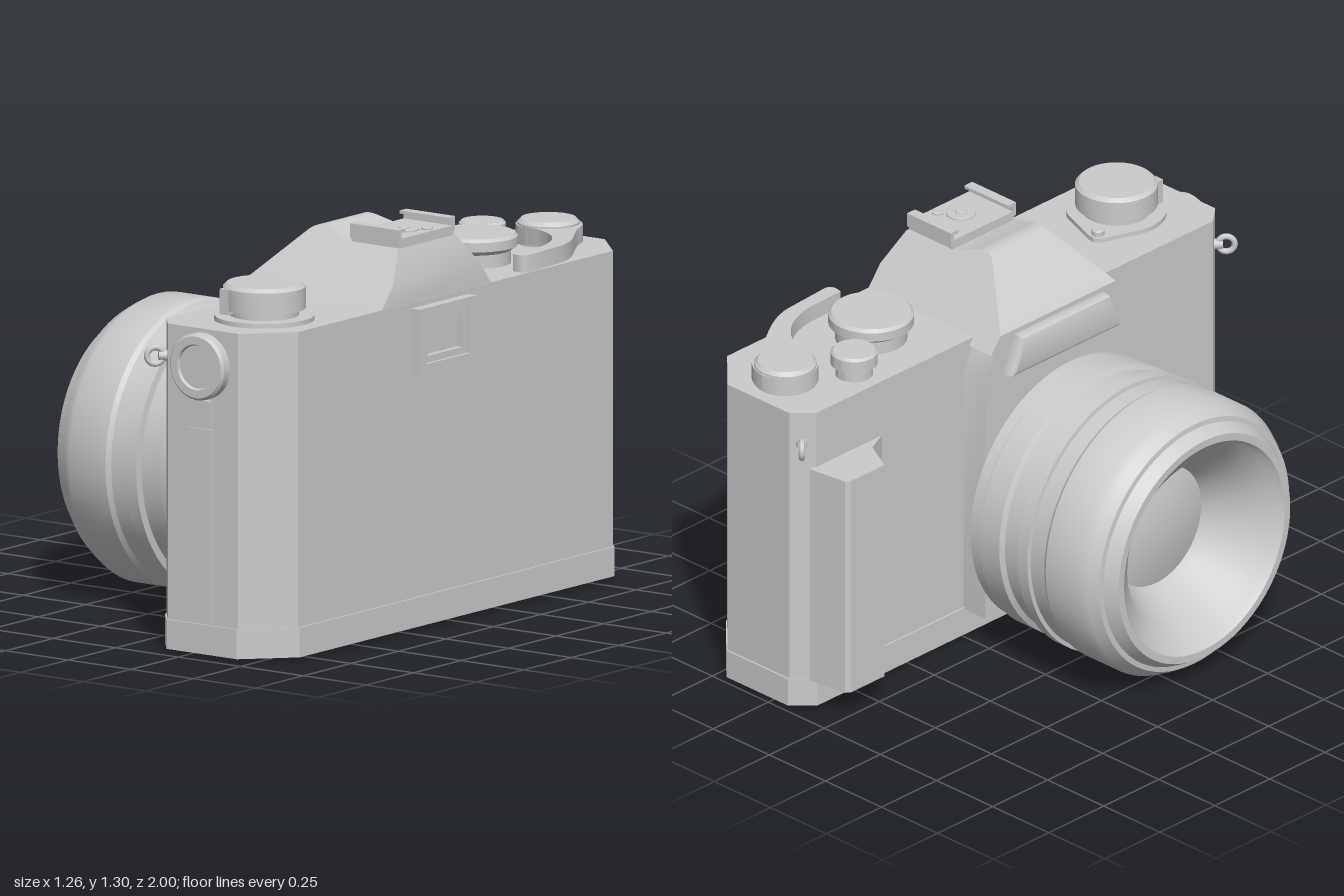
import * as THREE from 'three';
import { toCreasedNormals } from 'three/addons/utils/BufferGeometryUtils.js';

const CZ = 0.08;      // lens and viewfinder axis in z
const LENS_Y = 0.473; // lens axis height
const V = (a, b) => new THREE.Vector2(a, b);

export function createModel() {
  const root = new THREE.Group();
  const mat = new THREE.MeshStandardMaterial({ color: 0xcccccc, side: THREE.DoubleSide });

  const add = (name, geo, x = 0, y = 0, z = 0, parent = root) => {
    const m = new THREE.Mesh(geo, mat);
    m.name = name;
    m.position.set(x, y, z);
    parent.add(m);
    return m;
  };
  const box = (name, x0, x1, y0, y1, z0, z1) =>
    add(name, new THREE.BoxGeometry(x1 - x0, y1 - y0, z1 - z0), (x0 + x1) / 2, (y0 + y1) / 2, (z0 + z1) / 2);
  const extrude = (shape, depth, bevel = 0) => toCreasedNormals(new THREE.ExtrudeGeometry(shape, {
    depth: depth - 2 * bevel, curveSegments: 24, bevelEnabled: bevel > 0,
    bevelThickness: bevel, bevelSize: bevel, bevelOffset: -bevel, bevelSegments: 2,
  }).translate(0, 0, bevel), 0.5);
  // plan outline of [x, z] points raised from y0 to y1
  const plan = (name, pts, y0, y1, bevel = 0) =>
    add(name, extrude(new THREE.Shape(pts.map(([x, z]) => V(x, -z))), y1 - y0, bevel).rotateX(-Math.PI / 2), 0, y0, 0);
  // cross-section of [z, y] points swept from x0 to x1
  const section = (name, shape, x0, x1, bevel = 0) =>
    add(name, extrude(shape, x1 - x0, bevel).rotateY(Math.PI / 2), x0, 0, CZ);
  // turned part from [radius, height] points
  const turned = (name, pts, x, y, z, seg = 48) =>
    add(name, toCreasedNormals(new THREE.LatheGeometry(pts.map(([r, h]) => V(r, h)), seg), 0.5), x, y, z);
  const knob = (name, r, h, x, y, z, b = 0.012) =>
    turned(name, [[0, 0], [r, 0], [r, h - b], [r - b, h], [0, h]], x, y, z);

  // body shell and base plate
  const outline = (g) => [
    [0.115 - g, -0.92], [0.175, -0.98 - g], [0.45, -0.98 - g], [0.585 + g, -0.845],
    [0.585 + g, 0.81], [0.45, 0.95 + g], [0.17, 0.95 + g], [0.115 - g, 0.885],
  ];
  plan('body', outline(0), 0.1, 1.065);
  plan('basePlate', outline(0.006), 0.01, 0.106);
  turned('tripodSocket', [[0.025, 0.012], [0.025, 0], [0.045, 0], [0.045, 0.012]], 0.35, 0, CZ);

  // hand grip
  plan('grip', [[0.12, -0.945], [-0.018, -0.925], [-0.03, -0.91], [-0.03, -0.757], [0.08, -0.7], [0.12, -0.61]], 0.106, 0.87);

  // mount block, tapering at the shoulders
  section('mountBlock', new THREE.Shape([
    V(-0.33, 0.1), V(0.33, 0.1), V(0.33, 0.95), V(0.26, 1.095), V(-0.26, 1.095), V(-0.33, 0.95),
  ]), 0.017, 0.14);
  section('frontPlate', new THREE.Shape([V(-0.25, 0.955), V(0.25, 0.955), V(0.2, 1.08), V(-0.2, 1.08)]), -0.025, 0.03, 0.015);

  // prism housing: side profile whose width shrinks with height
  const profile = new THREE.Shape();
  profile.moveTo(0.017, 1.04);
  profile.lineTo(0.017, 1.095);
  profile.lineTo(0.175, 1.255);
  profile.quadraticCurveTo(0.205, 1.283, 0.25, 1.27);
  profile.lineTo(0.35, 1.237);
  profile.lineTo(0.545, 1.237);
  profile.lineTo(0.583, 1.135);
  profile.lineTo(0.583, 1.04);
  const prism = new THREE.ExtrudeGeometry(profile, { depth: 1, bevelEnabled: false });
  const p = prism.attributes.position;
  for (let i = 0; i < p.count; i++) {
    const half = 0.285 - 0.78 * (p.getY(i) - 1.065);
    p.setZ(i, CZ + (p.getZ(i) > 0.5 ? half : -half));
  }
  add('prismHousing', toCreasedNormals(prism, 0.5));

  // accessory shoe
  box('shoePlate', 0.35, 0.545, 1.235, 1.268, CZ - 0.14, CZ + 0.14);
  for (const s of [-1, 1]) {
    const band = (name, a, b, y0, y1) =>
      box(name, 0.35, 0.545, y0, y1, CZ + Math.min(s * a, s * b), CZ + Math.max(s * a, s * b));
    band('shoeRail', 0.134, 0.148, 1.25, 1.297);
    band('shoeLip', 0.112, 0.14, 1.287, 1.297);
  }
  knob('shoeContact', 0.048, 0.008, 0.46, 1.266, CZ + 0.01, 0.002);
  knob('shoePin', 0.018, 0.014, 0.46, 1.266, CZ + 0.01, 0.003);
  knob('shoePin', 0.018, 0.01, 0.515, 1.266, CZ - 0.04, 0.003);

  // eyepiece frame with sunken window
  const rect = (w, y0, y1) => [V(-w, y0), V(w, y0), V(w, y1), V(-w, y1)];
  const frame = new THREE.Shape(rect(0.15, 0.84, 1.05));
  frame.holes.push(new THREE.Path(rect(0.115, 0.868, 1.022)));
  section('eyepieceFrame', frame, 0.595, 0.63);
  box('eyepieceBase', 0.58, 0.597, 0.825, 1.04, CZ - 0.13, CZ + 0.13);
  const inner = new THREE.Shape(rect(0.115, 0.868, 1.022));
  inner.holes.push(new THREE.Path(rect(0.09, 0.89, 1.0)));
  section('eyepieceInnerFrame', inner, 0.595, 0.618);

  // lens barrel: [radius, x] from the glass outwards and back to the mount
  const lens = turned('lens', [
    [0, 0.45], [0.12, 0.442], [0.205, 0.42], [0.215, 0.45], [0.285, 0.57], [0.35, 0.615], [0.365, 0.635],
    [0.39, 0.635], [0.415, 0.592], [0.432, 0.59], [0.452, 0.558], [0.467, 0.53], [0.467, 0.385],
    [0.457, 0.37], [0.455, 0.307], [0.468, 0.305], [0.468, 0.262], [0.444, 0.258], [0.444, 0.182],
    [0.46, 0.172], [0.46, 0.085], [0.452, 0.078], [0.452, 0.036], [0.34, 0.036],
    [0.32, 0.012], [0.32, -0.03],
  ].reverse(), 0, LENS_Y, CZ, 72);
  lens.rotation.z = Math.PI / 2;
  const mount = turned('mountRing', [[0.3, 0], [0.335, 0], [0.335, 0.02], [0.3, 0.02]], 0, LENS_Y, CZ, 64);
  mount.rotation.z = Math.PI / 2;

  // rewind knob on a pointed dish with a small index post
  const dish = [[0.265, 0.535], [0.285, 0.515], [0.315, 0.52]];
  for (let i = 0; i <= 32; i++) {
    const a = -0.95 + (i / 32) * 4.6;
    dish.push([0.37 + 0.16 * Math.cos(a), 0.705 + 0.16 * Math.sin(a)]);
  }
  plan('rewindDish', dish, 1.06, 1.08);
  knob('rewindIndexPost', 0.02, 0.03, 0.295, 1.07, 0.545, 0.005);
  turned('rewindKnob', [[0.11, 0], [0.11, 0.03], [0.132, 0.03], [0.132, 0.1], [0.12, 0.112], [0, 0.112]], 0.37, 1.073, 0.705);
  box('rewindCrankHinge', 0.285, 0.32, 1.09, 1.172, 0.79, 0.83);

  // shutter speed dial, release button and advance lever
  turned('speedDial', [[0.115, 0], [0.115, 0.045], [0.137, 0.06], [0.137, 0.09], [0.127, 0.1], [0, 0.1]], 0.345, 1.063, -0.435);
  turned('releaseButton', [[0.06, 0], [0.06, 0.035], [0.075, 0.042], [0.075, 0.082], [0.067, 0.09], [0, 0.09]], 0.215, 1.063, -0.645);
  knob('advanceHub', 0.1, 0.08, 0.335, 1.065, -0.835);
  const lever = new THREE.Shape();
  lever.moveTo(0.335, 0.94);
  lever.quadraticCurveTo(0.43, 0.93, 0.46, 0.83);
  lever.bezierCurveTo(0.5, 0.74, 0.57, 0.68, 0.59, 0.57);
  lever.lineTo(0.602, 0.38);
  lever.quadraticCurveTo(0.595, 0.35, 0.55, 0.365);
  lever.lineTo(0.548, 0.5);
  lever.bezierCurveTo(0.535, 0.62, 0.47, 0.7, 0.37, 0.73);
  lever.lineTo(0.29, 0.74);
  lever.quadraticCurveTo(0.23, 0.77, 0.235, 0.84);
  lever.quadraticCurveTo(0.25, 0.93, 0.335, 0.94);
  add('advanceLever', extrude(lever, 0.055).rotateX(-Math.PI / 2), 0, 1.072, 0);

  // round cover on the end of the body
  const cover = turned('endCover', [[0, 0.028], [0.07, 0.028], [0.074, 0.038], [0.1, 0.038], [0.108, 0.03], [0.108, 0]], 0.31, 0.945, 0.949);
  cover.rotation.x = Math.PI / 2;

  // hinge strip with end tabs
  box('hingeStrip', 0.27, 0.355, 0.205, 0.745, 0.94, 0.972);
  for (const y of [0.16, 0.79]) {
    box('hingeTab', 0.275, 0.35, y - 0.045, y + 0.045, 0.94, 0.967);
  }

  // strap lugs on the front corners
  for (const [z, s] of [[0.925, 1], [-0.955, -1]]) {
    const lug = new THREE.Group();
    lug.name = 'strapLug';
    lug.position.set(0.145, 0.955, z);
    lug.rotation.y = s > 0 ? -Math.PI / 4 : -Math.PI * 3 / 4;
    root.add(lug);
    const post = add('lugPost', new THREE.CylinderGeometry(0.014, 0.02, 0.04, 16), 0, 0, 0.005, lug);
    post.rotation.x = Math.PI / 2;
    const ring = add('lugRing', new THREE.TorusGeometry(0.027, 0.01, 10, 24), 0, 0, 0.035, lug);
    ring.rotation.y = Math.PI / 2;
  }
  return root;
}
